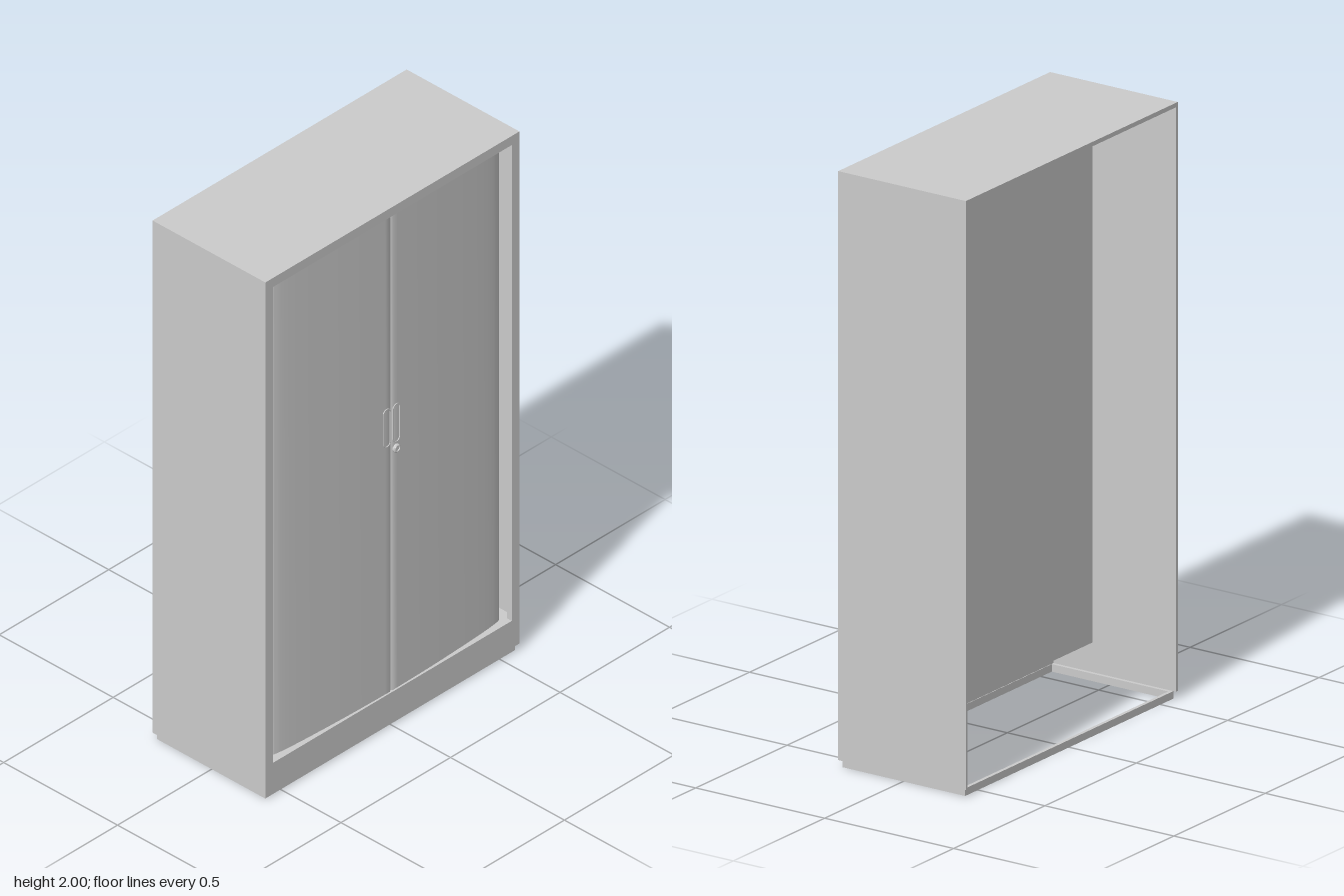
import * as THREE from 'three';
import { toCreasedNormals } from 'three/addons/utils/BufferGeometryUtils.js';

const grey = new THREE.MeshStandardMaterial({ color: 0xcccccc, side: THREE.DoubleSide });

function add(parent, name, geometry, x = 0, y = 0, z = 0) {
  const mesh = new THREE.Mesh(geometry, grey);
  mesh.name = name;
  mesh.position.set(x, y, z);
  parent.add(mesh);
  return mesh;
}

// box given by its limits
function slab(parent, name, x0, x1, y0, y1, z0, z1) {
  return add(parent, name, new THREE.BoxGeometry(x1 - x0, y1 - y0, z1 - z0),
    (x0 + x1) / 2, (y0 + y1) / 2, (z0 + z1) / 2);
}

function rect(Type, x0, x1, y0, y1) {
  const p = new Type();
  p.moveTo(x0, y0);
  p.lineTo(x1, y0);
  p.lineTo(x1, y1);
  p.lineTo(x0, y1);
  p.closePath();
  return p;
}

function capsule(Type, r, half) {
  const p = new Type();
  p.absarc(0, half, r, 0, Math.PI, false);
  p.absarc(0, -half, r, Math.PI, 2 * Math.PI, false);
  p.closePath();
  return p;
}

const extrude = (shape, depth) =>
  new THREE.ExtrudeGeometry(shape, { depth, bevelEnabled: false, curveSegments: 12 });

// door leaf: gently bowed front that rolls inwards at the outer edge
function doorGeometry(side) {
  const bow = new THREE.SplineCurve([
    [0.008, 0.241], [0.2, 0.237], [0.4, 0.228], [0.5, 0.219],
    [0.525, 0.208], [0.538, 0.19], [0.542, 0.16],
  ].map(([x, z]) => new THREE.Vector2(x, z))).getPoints(36);
  const points = [
    new THREE.Vector2(0.001, 0.2), new THREE.Vector2(0.001, 0.237),
    ...bow,
    new THREE.Vector2(0.542, 0.085), new THREE.Vector2(0.534, 0.085),
    new THREE.Vector2(0.53, 0.17), new THREE.Vector2(0.5, 0.2),
  ];
  const shape = new THREE.Shape(points.map((p) => new THREE.Vector2(side * p.x, -p.y)));
  const geometry = extrude(shape, 1.83);
  geometry.rotateX(-Math.PI / 2);
  return toCreasedNormals(geometry, 0.6);
}

export function createModel() {
  const model = new THREE.Group();
  model.name = 'cabinet';
  // built facing +z, then turned so that the doors face +x
  const body = new THREE.Group();
  body.name = 'cabinetBody';
  body.rotation.y = Math.PI / 2;
  model.add(body);

  // shell, open at the back and the bottom
  slab(body, 'topPanel', -0.58, 0.58, 1.985, 2, -0.25, 0.245);
  for (const s of [-1, 1]) {
    const [a, b] = s < 0 ? [-0.58, -0.57] : [0.57, 0.58];
    slab(body, s < 0 ? 'sidePanelA' : 'sidePanelB', a, b, 0.025, 1.985, -0.25, 0.245);
  }

  // front frame with the door opening
  const frame = rect(THREE.Shape, -0.58, 0.58, 0.025, 2);
  frame.holes.push(rect(THREE.Path, -0.545, 0.545, 0.13, 1.965));
  add(body, 'frontFrame', extrude(frame, 0.02), 0, 0, 0.225);

  // compartment behind the doors
  slab(body, 'innerPanel', -0.57, 0.57, 0.125, 1.97, 0.073, 0.078);
  slab(body, 'compartmentFloor', -0.57, 0.57, 0.125, 0.13, 0.078, 0.225);
  slab(body, 'compartmentCeiling', -0.57, 0.57, 1.965, 1.97, 0.078, 0.225);

  // hollow plinth
  const plinth = rect(THREE.Shape, -0.57, 0.57, -0.235, 0.24);
  plinth.holes.push(rect(THREE.Path, -0.558, 0.558, -0.223, 0.228));
  const plinthGeometry = extrude(plinth, 0.025);
  plinthGeometry.rotateX(-Math.PI / 2);
  add(body, 'plinth', plinthGeometry);

  // doors and their grips
  for (const s of [-1, 1]) {
    const tag = s < 0 ? 'A' : 'B';
    add(body, 'door' + tag, doorGeometry(s), 0, 0.132, 0);
    const rim = capsule(THREE.Shape, 0.017, 0.057);
    rim.holes.push(capsule(THREE.Path, 0.014, 0.057));
    add(body, 'gripRim' + tag, extrude(rim, 0.004), s * 0.022, 1.156, 0.2395);
  }

  // lock with its raised ring
  const lockProfile = [[0, 0.009], [0.009, 0.009], [0.01, 0.012], [0.012, 0.012], [0.015, 0.008], [0.015, 0]];
  const lock = new THREE.LatheGeometry(
    lockProfile.map(([r, h]) => new THREE.Vector2(r, h)).reverse(), 24);
  lock.rotateX(Math.PI / 2);
  add(body, 'lock', toCreasedNormals(lock, 0.5), 0.02, 1.06, 0.238);
  return model;
}
